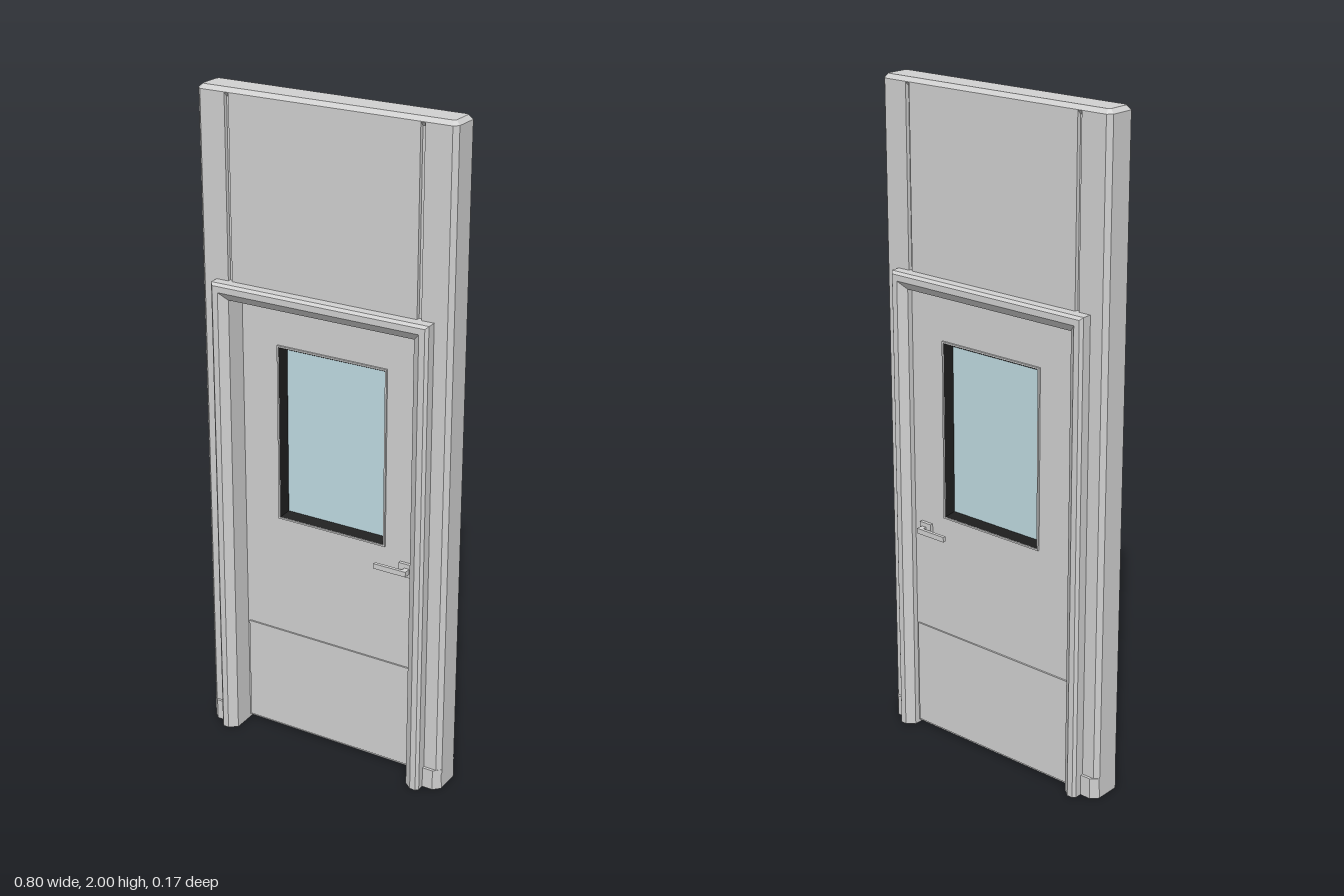
import * as THREE from 'three';

const grey = new THREE.MeshStandardMaterial({ color: 0xd0d0d0 });
grey.name = 'paintedGrey';
const black = new THREE.MeshStandardMaterial({ color: 0x1a1a1a });
black.name = 'gasketBlack';
const glassBlue = new THREE.MeshStandardMaterial({ color: 0xbfdae1 });
glassBlue.name = 'paleGlass';

// Sweeps a closed (u, z) profile, counterclockwise, round mitred corners [x, y, dirX, dirY].
function sweep(profile, corners, closed) {
  const pos = [];
  const n = profile.length, m = corners.length;
  const pt = (i, j) => {
    const [x, y, dx, dy] = corners[i % m];
    const [u, z] = profile[j % n];
    return [x + u * dx, y + u * dy, z];
  };
  for (let i = 0; i < (closed ? m : m - 1); i++) {
    for (let j = 0; j < n; j++) {
      const a = pt(i, j), b = pt(i + 1, j), c = pt(i + 1, j + 1), d = pt(i, j + 1);
      pos.push(...a, ...b, ...c, ...a, ...c, ...d);
    }
  }
  if (!closed) {
    const contour = profile.map(([u, z]) => new THREE.Vector2(u, z));
    for (const [a, b, c] of THREE.ShapeUtils.triangulateShape(contour, [])) {
      pos.push(...pt(0, a), ...pt(0, b), ...pt(0, c));
      pos.push(...pt(m - 1, a), ...pt(m - 1, c), ...pt(m - 1, b));
    }
  }
  const g = new THREE.BufferGeometry();
  g.setAttribute('position', new THREE.Float32BufferAttribute(pos, 3));
  g.computeVertexNormals();
  return g;
}

// Extrudes a footprint of [x, z] points upward from y0 to y1.
function extrudeUp(points, y0, y1, bevel = 0) {
  const shape = new THREE.Shape(points.map(([x, z]) => new THREE.Vector2(x, -z)));
  const g = new THREE.ExtrudeGeometry(shape, {
    depth: y1 - y0 - 2 * bevel, bevelEnabled: bevel > 0, bevelSegments: 1,
    bevelSize: bevel, bevelThickness: bevel, bevelOffset: -bevel,
  });
  g.rotateX(-Math.PI / 2);
  g.translate(0, y0 + bevel, 0);
  return g;
}

function rectPath(x, y0, y1, PathType) {
  return new PathType([[-x, y0], [x, y0], [x, y1], [-x, y1]].map(p => new THREE.Vector2(...p)));
}

export function createModel() {
  const root = new THREE.Group();
  root.name = 'doorWithWallPanel';
  const add = (name, geometry, material = grey, parent = root) => {
    const mesh = new THREE.Mesh(geometry, material);
    mesh.name = name;
    parent.add(mesh);
    return mesh;
  };
  const box = (name, x0, x1, y0, y1, z0, z1, material, parent) => {
    const mesh = add(name, new THREE.BoxGeometry(x1 - x0, y1 - y0, z1 - z0), material, parent);
    mesh.position.set((x0 + x1) / 2, (y0 + y1) / 2, (z0 + z1) / 2);
  };

  // Wall: side columns with plinths, header panel set off by narrow grooves, bevelled cap
  for (const s of [-1, 1]) {
    const side = s > 0 ? 'left' : 'right';
    add(side + 'Column', extrudeUp([
      [s * 0.308, -0.05], [s * 0.387, -0.05], [s * 0.4, -0.037],
      [s * 0.4, 0.037], [s * 0.387, 0.05], [s * 0.308, 0.05],
    ], 0, 1.988));
    add(side + 'Plinth', extrudeUp([
      [s * 0.31, -0.058], [s * 0.38, -0.058], [s * 0.3995, -0.039],
      [s * 0.3995, 0.039], [s * 0.38, 0.058], [s * 0.31, 0.058],
    ], 0, 0.065));
  }
  box('headerPanel', -0.295, 0.295, 1.42, 1.988, -0.05, 0.05);
  box('headerCore', -0.31, 0.31, 1.42, 1.988, -0.038, 0.038);
  add('wallCap', extrudeUp([
    [-0.387, -0.05], [0.387, -0.05], [0.4, -0.037], [0.4, 0.037],
    [0.387, 0.05], [-0.387, 0.05], [-0.4, 0.037], [-0.4, -0.037],
  ], 1.975, 2, 0.012));

  // Door frame: deep straight reveal, wide inner bevel, chamfered outer edge
  const frameProfile = [
    [0, -0.068], [0.024, -0.087], [0.042, -0.087], [0.05, -0.079],
    [0.05, 0.079], [0.042, 0.087], [0.024, 0.087], [0, 0.068],
  ];
  add('doorFrame', sweep(frameProfile, [
    [0.297, 0, 1, 0], [0.297, 1.402, 1, 1], [-0.297, 1.402, -1, 1], [-0.297, 0, -1, 0],
  ], false));

  // Door leaf with a window opening, set towards the back of the frame
  const door = new THREE.Group();
  door.name = 'door';
  door.position.z = -0.026;
  root.add(door);
  const leaf = rectPath(0.299, 0.01, 1.404, THREE.Shape);
  leaf.holes.push(rectPath(0.176, 0.726, 1.267, THREE.Path));
  const leafGeometry = new THREE.ExtrudeGeometry(leaf, { depth: 0.05, bevelEnabled: false });
  leafGeometry.translate(0, 0, -0.025);
  add('doorLeaf', leafGeometry, grey, door);

  // Window: raised rim and sloping gasket round the pane
  const windowCorners = [
    [0.161, 0.742, 1, -1], [0.161, 1.251, 1, 1], [-0.161, 1.251, -1, 1], [-0.161, 0.742, -1, -1],
  ];
  const gasketProfile = [[0, -0.004], [0.013, -0.028], [0.013, 0.028], [0, 0.004]];
  const rimProfile = [[0.013, -0.031], [0.018, -0.031], [0.018, 0.031], [0.013, 0.031]];
  add('windowGasket', sweep(gasketProfile, windowCorners, true), black, door);
  add('windowRim', sweep(rimProfile, windowCorners, true), grey, door);
  box('windowPane', -0.163, 0.163, 0.74, 1.253, -0.003, 0.003, glassBlue, door);

  // Kick plate and lever handle on both faces
  for (const s of [-1, 1]) {
    const face = s > 0 ? 'front' : 'back';
    const part = (name, x0, x1, y0, y1, z0, z1) =>
      box(face + name, x0, x1, y0, y1, Math.min(s * z0, s * z1), Math.max(s * z0, s * z1), grey, door);
    part('KickPlate', -0.29, 0.29, 0.017, 0.348, 0.024, 0.03);
    part('HandleRose', 0.229, 0.271, 0.648, 0.69, 0.024, 0.035);
    part('HandleNeck', 0.247, 0.263, 0.661, 0.677, 0.03, 0.057);
    part('HandleLever', 0.158, 0.263, 0.661, 0.677, 0.047, 0.057);
  }
  return root;
}
